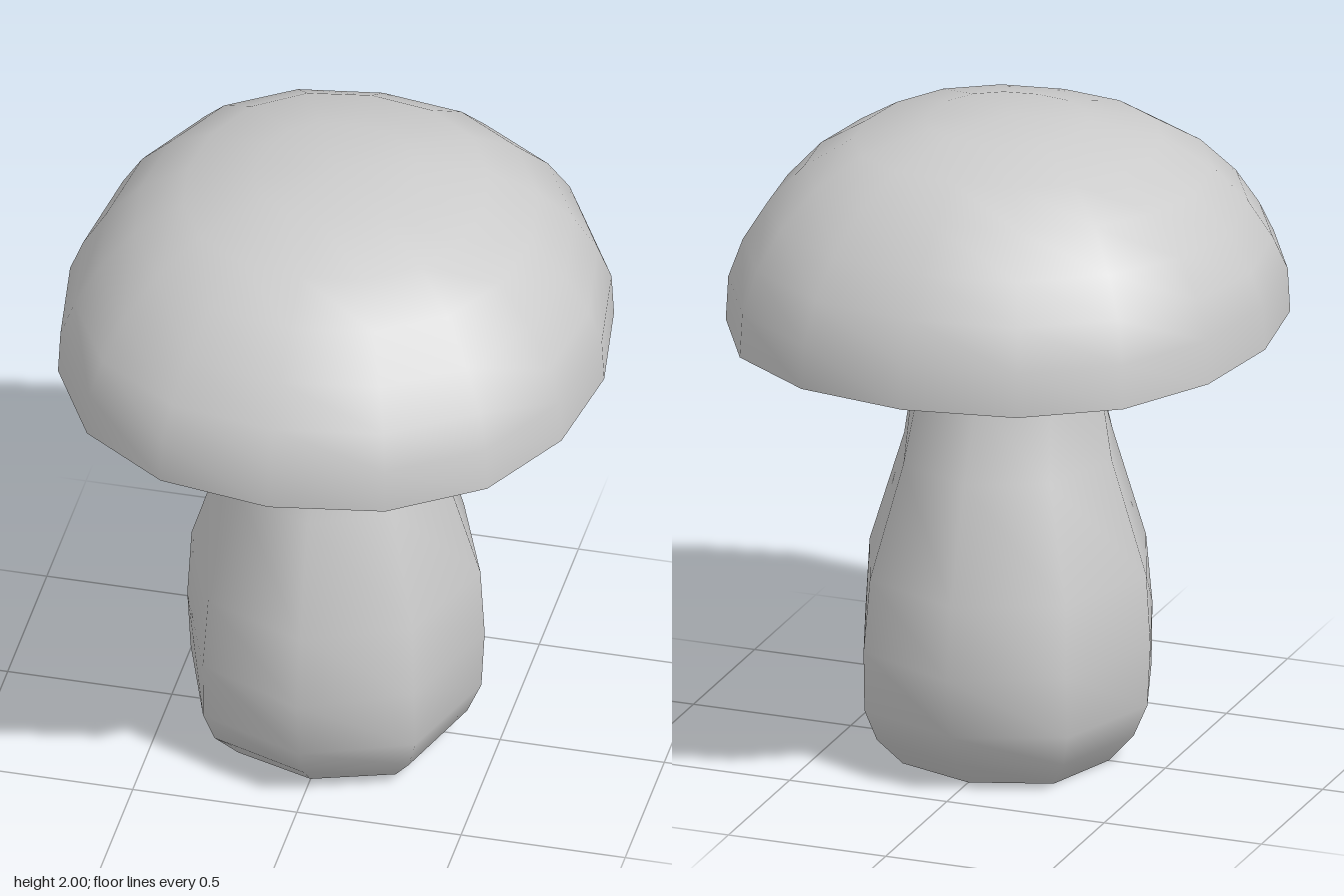
import * as THREE from 'three';
import { mergeVertices } from 'three/addons/utils/BufferGeometryUtils.js';

// Both parts are thin open shells.
const material = new THREE.MeshStandardMaterial({ color: 0xcccccc, side: THREE.DoubleSide });

// Turned shell with oval rings [radius in x, y, radius in z], then shaped by a rule.
function ovalShell(name, rings, sides, shape) {
  const turned = new THREE.LatheGeometry(rings.map(([rx, y]) => new THREE.Vector2(rx, y)), sides);
  const pos = turned.attributes.position;
  const p = new THREE.Vector3();
  for (let i = 0; i < pos.count; i++) {
    const [rx, , rz] = rings[i % rings.length];
    const angle = (Math.floor(i / rings.length) / sides) * Math.PI * 2;
    p.fromBufferAttribute(pos, i);
    if (rx > 0) p.z *= rz / rx;
    shape(p, angle);
    pos.setXYZ(i, p.x, p.y, p.z);
  }
  // Weld the seam and the pole so the shading runs smoothly round.
  turned.deleteAttribute('uv');
  turned.deleteAttribute('normal');
  const geometry = mergeVertices(turned, 1e-4);
  geometry.computeVertexNormals();
  const mesh = new THREE.Mesh(geometry, material);
  mesh.name = name;
  return mesh;
}

export function createModel() {
  const group = new THREE.Group();
  group.name = 'mushroom';

  // Hollow cap: squarish outline, a little fuller towards the back
  group.add(ovalShell('cap', [
    [0.817, 1.365, 0.867], [0.81, 1.5, 0.858], [0.77, 1.6, 0.8], [0.7, 1.715, 0.72],
    [0.595, 1.83, 0.6], [0.45, 1.92, 0.46], [0.24, 1.98, 0.24], [0, 2, 0],
  ], 16, (p, angle) => {
    p.x *= 1 + 0.11 * Math.cos(angle) ** 2;
    p.z *= 1 + 0.02 * Math.sin(2 * angle) ** 2;
    if (p.z < 0 && p.y > 1.55) p.y += Math.min(0.025, -0.05 * p.z, (2 - p.y) * 0.5);
  }));

  // Bulbous open stem: foot slightly square, neck leaning a little to the right
  group.add(ovalShell('stem', [
    [0.32, 0, 0.325], [0.4, 0.09, 0.42], [0.443, 0.19, 0.47], [0.453, 0.38, 0.5],
    [0.44, 0.6, 0.465], [0.33, 0.95, 0.36], [0.295, 1.18, 0.268], [0.262, 1.365, 0.235],
    [0.24, 1.46, 0.225],
  ], 8, (p, angle) => {
    const square = 1 + 0.06 * Math.max(0, 1 - p.y / 0.4) * Math.sin(2 * angle) ** 2;
    p.x *= square;
    p.z *= square;
    if (p.y > 1.3) p.x -= 0.012;
  }));

  return group;
}
